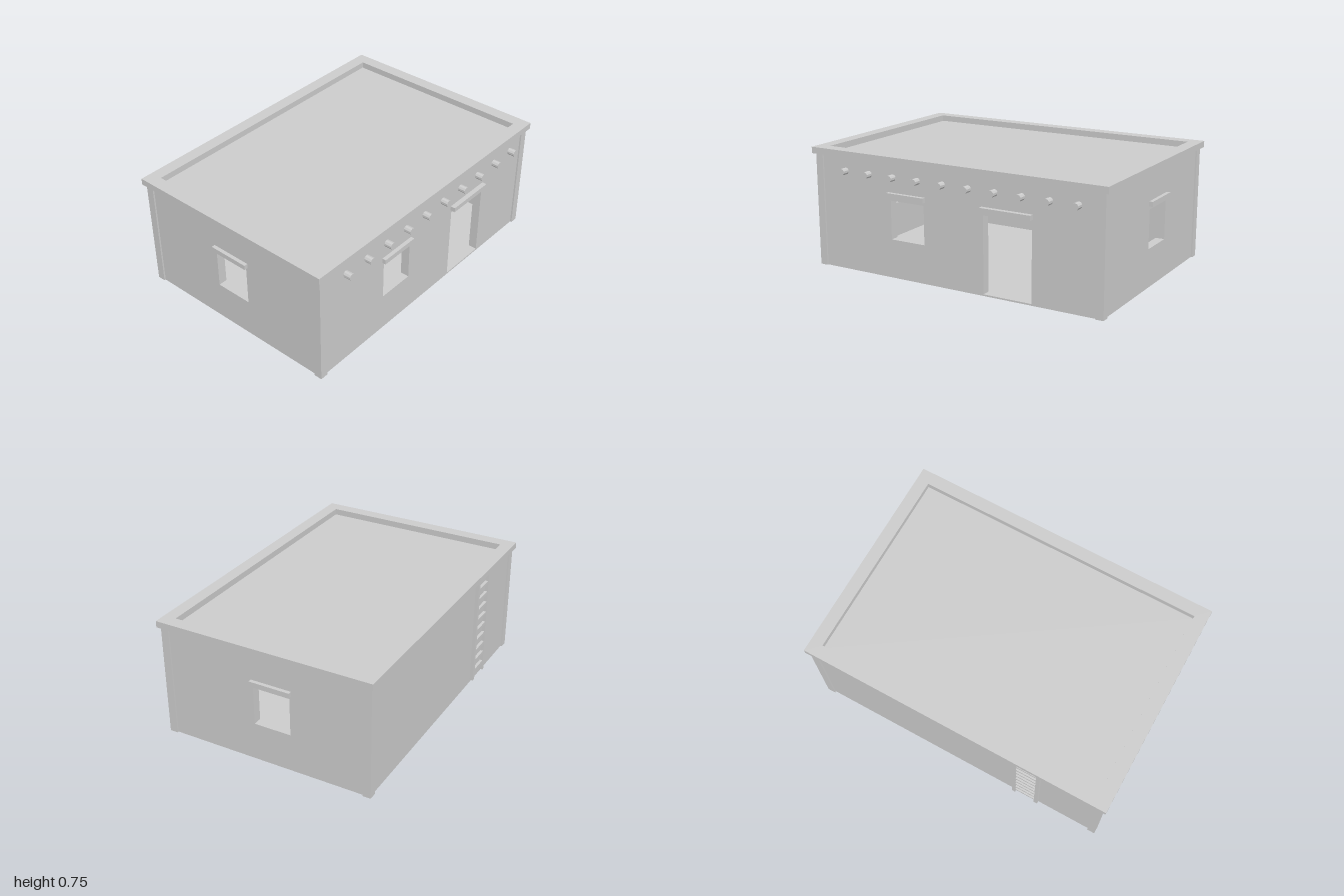
import * as THREE from 'three';

const material = new THREE.MeshStandardMaterial({ color: 0xcccccc, flatShading: true });

// Overall limits of the wall faces
const X = 0.97, FRONT = 0.66, BACK = -0.677, H = 0.71, T = 0.055;
const MID = (FRONT + BACK) / 2;

function add(parent, name, geometry) {
  const mesh = new THREE.Mesh(geometry, material);
  mesh.name = name;
  parent.add(mesh);
  return mesh;
}

// Box given by its limits on each axis
function block(parent, name, [x0, x1], [y0, y1], [z0, z1]) {
  const mesh = add(parent, name, new THREE.BoxGeometry(x1 - x0, y1 - y0, z1 - z0));
  mesh.position.set((x0 + x1) / 2, (y0 + y1) / 2, (z0 + z1) / 2);
  return mesh;
}

function rect(Type, x0, x1, y0, y1) {
  const r = new Type();
  r.moveTo(x0, y0);
  r.lineTo(x1, y0);
  r.lineTo(x1, y1);
  r.lineTo(x0, y1);
  r.closePath();
  return r;
}

// Upright slab with rectangular openings, extruded along +z
function slab(x0, x1, y0, y1, depth, openings = []) {
  const shape = rect(THREE.Shape, x0, x1, y0, y1);
  for (const o of openings) shape.holes.push(rect(THREE.Path, ...o));
  return new THREE.ExtrudeGeometry(shape, { depth, bevelEnabled: false });
}

export function createModel() {
  const house = new THREE.Group();
  house.name = 'flatRoofHouse';

  // Front wall with window and door openings, plain back wall
  const frontOpenings = [[-0.43, -0.193, 0.24, 0.48], [0.214, 0.53, 0.01, 0.48]];
  add(house, 'frontWall', slab(-X, X, 0, H, T, frontOpenings)).position.z = FRONT - T;
  block(house, 'backWall', [-X, X], [0, H], [BACK, BACK + T]);

  // Side walls, each with one window and lintel
  const sides = [
    { name: 'left', s: 1, z0: -0.174, z1: 0.063 },
    { name: 'right', s: -1, z0: -0.13, z1: 0.107 },
  ];
  for (const { name, s, z0, z1 } of sides) {
    // local x becomes -z after the quarter turn
    const geo = slab(-(FRONT - T), -(BACK + T), 0, H, T, [[-z1, -z0, 0.24, 0.48]]);
    geo.rotateY(Math.PI / 2);
    add(house, name + 'Wall', geo).position.x = s > 0 ? X - T : -X;
    const lintelX = s > 0 ? [X - 0.03, 0.993] : [-0.993, -X + 0.03];
    block(house, name + 'WindowLintel', lintelX, [0.5, 0.53], [z0 - 0.012, z1 + 0.012]);
  }

  // Front lintels
  block(house, 'frontWindowLintel', [-0.445, -0.183], [0.5, 0.53], [FRONT - 0.03, 0.684]);
  block(house, 'doorLintel', [0.205, 0.535], [0.5, 0.53], [FRONT - 0.03, 0.69]);

  // Floor and roof slabs between the walls
  const inX = [-X + T, X - T], inZ = [BACK + T, FRONT - T];
  block(house, 'floor', inX, [0, 0.01], inZ);
  block(house, 'roof', inX, [0.67, 0.712], inZ);

  // Corner posts standing slightly proud of the walls
  for (const x of [[-0.98, -0.93], [0.93, 0.98]])
    for (const z of [[0.62, 0.67], [-0.687, -0.636]])
      block(house, 'cornerPost', x, [0, H], z);

  // Parapet ring
  const ring = slab(-1, 1, -0.694, 0.694, 0.04, [[-0.92, 0.92, -0.615, 0.615]]);
  ring.rotateX(-Math.PI / 2);
  add(house, 'parapet', ring).position.set(0, H, MID);

  // Row of round roof beam ends
  const beams = new THREE.Group();
  beams.name = 'roofBeamEnds';
  house.add(beams);
  for (let i = 0; i < 10; i++) {
    const geo = new THREE.CylinderGeometry(0.021, 0.021, 0.08, 10);
    geo.rotateX(Math.PI / 2);
    add(beams, 'beamEnd', geo).position.set(-0.76 + i * 0.175, 0.622, 0.667);
  }

  // Ladder on the back wall
  const ladder = new THREE.Group();
  ladder.name = 'ladder';
  house.add(ladder);
  for (const x of [-0.567, -0.41])
    block(ladder, 'ladderRail', [x - 0.012, x + 0.012], [0.015, H], [-0.698, BACK + 0.002]);
  for (let i = 0; i < 9; i++) {
    const y = 0.075 + i * 0.072;
    block(ladder, 'ladderRung', [-0.56, -0.417], [y - 0.009, y + 0.009], [-0.695, BACK + 0.002]);
  }

  return house;
}
